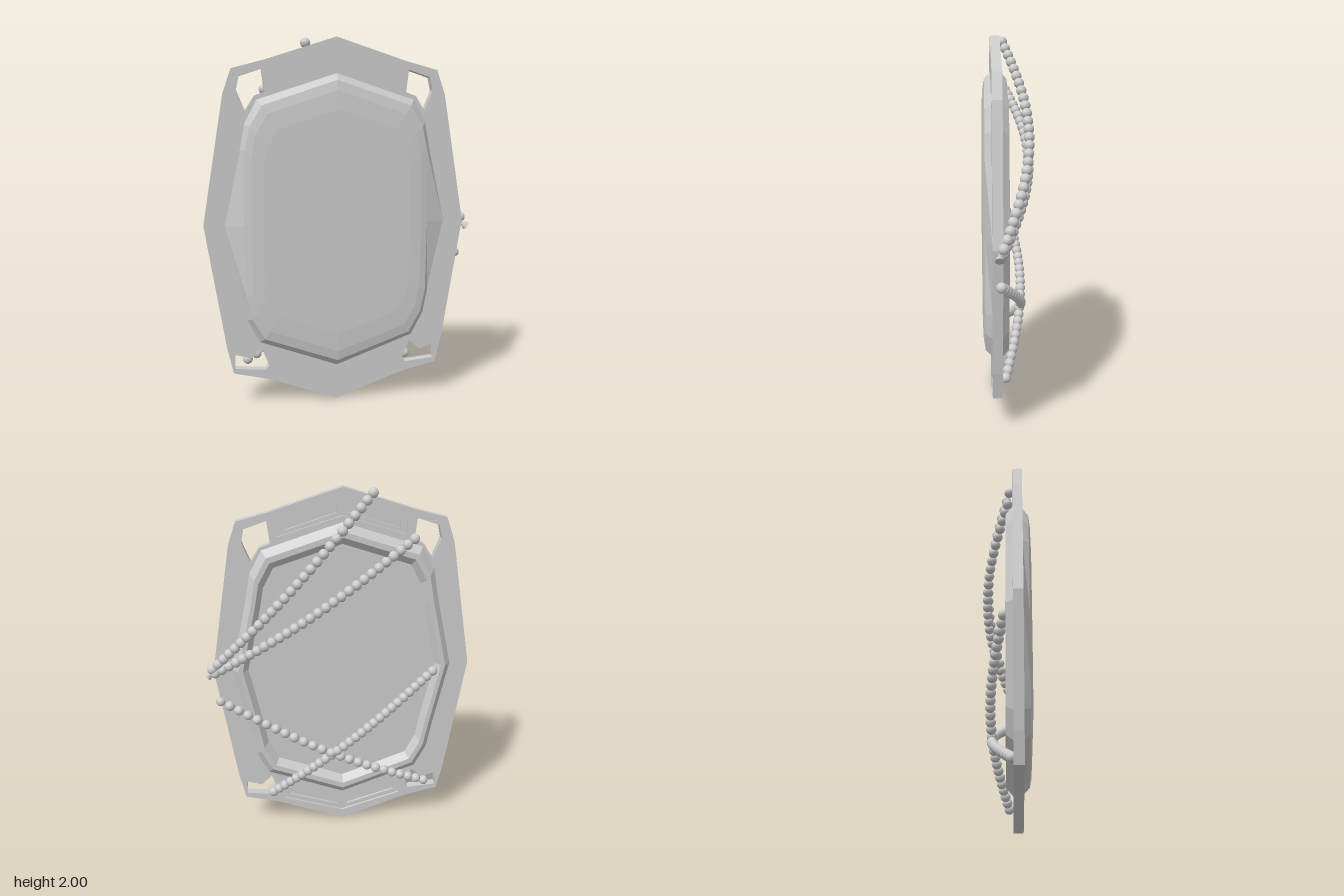
import * as THREE from 'three';

const grey = new THREE.MeshStandardMaterial({ color: 0xcccccc });
const flat = new THREE.MeshStandardMaterial({ color: 0xcccccc, flatShading: true });
const CX = -0.022; // centre line of the plate

// mirrors a right-hand half profile (top to bottom) into a full counter-clockwise loop
function mirrored(half) {
  const onAxis = (p) => Math.abs(p[0]) < 1e-6;
  const left = half.map(([x, y]) => [-x, y]);
  const right = half.filter((p) => !onAxis(p)).reverse();
  return [...left, ...right];
}

const path = (Type, pts) => new Type(pts.map(([x, y]) => new THREE.Vector2(x, y)));
const flipX = (pts) => pts.map(([x, y]) => [-x, y]);

function add(parent, name, geometry, material) {
  const mesh = new THREE.Mesh(geometry, material);
  mesh.name = name;
  parent.add(mesh);
  return mesh;
}

// flat slab between two depths, with cut-outs
function slab(outline, holes, z0, z1) {
  const shape = path(THREE.Shape, outline);
  holes.forEach((h) => shape.holes.push(path(THREE.Path, h)));
  return new THREE.ExtrudeGeometry(shape, { depth: z1 - z0, bevelEnabled: false }).translate(0, 0, z0);
}

// joins loops of equal length, optionally closing the last one with a fan
function loft(loops, cap) {
  const pos = [];
  const tri = (...pts) => pts.forEach((p) => pos.push(...p));
  const n = loops[0].length;
  for (let k = 0; k < loops.length - 1; k++) {
    for (let i = 0; i < n; i++) {
      const j = (i + 1) % n, a = loops[k], b = loops[k + 1];
      tri(a[i], a[j], b[j]);
      tri(a[i], b[j], b[i]);
    }
  }
  if (cap) {
    const last = loops[loops.length - 1];
    last.forEach((p, i) => tri(p, last[(i + 1) % n], cap));
  }
  const g = new THREE.BufferGeometry();
  g.setAttribute('position', new THREE.Float32BufferAttribute(pos, 3));
  g.computeVertexNormals();
  return g;
}

// scales a loop about the middle height and sets its depth
const ring = (pts, s, z) => pts.map(([x, y]) => [x * s, 1 + (y - 1) * s, z]);

// string of beads sagging backwards between two points
function beadString(parent, name, from, to, bulge, spacing) {
  const group = new THREE.Group();
  group.name = name;
  const a = new THREE.Vector3(...from), b = new THREE.Vector3(...to);
  const pts = [];
  for (let i = 0; i <= 12; i++) {
    const p = a.clone().lerp(b, i / 12);
    p.z -= bulge * Math.sin((Math.PI * i) / 12);
    pts.push(p);
  }
  const curve = new THREE.CatmullRomCurve3(pts);
  const count = Math.round(curve.getLength() / spacing);
  const bead = new THREE.SphereGeometry(0.028, 12, 8);
  curve.getSpacedPoints(count).forEach((p) => add(group, 'bead', bead, grey).position.copy(p));
  parent.add(group);
}

export function createModel() {
  const model = new THREE.Group();
  model.name = 'beadedPlaque';
  const body = new THREE.Group();
  body.name = 'plaque';
  body.position.x = CX;
  model.add(body);

  // faceted plate with corner openings and stepped pockets in the back
  const outline = mirrored([
    [0, 2], [0.39, 1.875], [0.56, 1.83], [0.605, 1.7], [0.72, 1],
    [0.61, 0.33], [0.575, 0.18], [0.38, 0.135], [0, 0],
  ]);
  const upperHole = [[0.40, 1.83], [0.52, 1.79], [0.535, 1.72], [0.49, 1.61], [0.44, 1.69], [0.385, 1.71]];
  const lowerHole = [[0.42, 0.315], [0.48, 0.26], [0.565, 0.285], [0.565, 0.205], [0.40, 0.19], [0.38, 0.215]];
  const corners = [upperHole, lowerHole].flatMap((h) => [h, flipX(h)]);
  const upperPocket = [[0.03, 1.91], [0.31, 1.825], [0.31, 1.775], [0.03, 1.865]];
  const lowerPocket = [[0.03, 0.09], [0.31, 0.175], [0.31, 0.225], [0.03, 0.135]];
  const deep = [upperPocket, lowerPocket].flatMap((h) => [h, flipX(h)]);
  const shallow = [
    mirrored([[0, 1.945], [0.345, 1.84], [0.345, 1.745], [0, 1.85]]),
    mirrored([[0, 0.15], [0.345, 0.255], [0.345, 0.16], [0, 0.055]]),
  ];
  add(body, 'plateFront', slab(outline, corners, 0.066, 0.088), grey);
  add(body, 'plateMiddle', slab(outline, [...corners, ...deep], 0.051, 0.066), grey);
  add(body, 'plateBack', slab(outline, [...corners, ...shallow], 0.037, 0.051), grey);

  // pillowed front panel: its bevel widens towards the middle of each side
  const base = mirrored([
    [0, 1.81], [0.43, 1.67], [0.497, 1.545], [0.523, 1.4], [0.61, 1],
    [0.523, 0.61], [0.497, 0.475], [0.43, 0.35], [0, 0.195],
  ]);
  const face = mirrored([
    [0, 1.773], [0.405, 1.638], [0.472, 1.525], [0.498, 1.4], [0.505, 1],
    [0.498, 0.61], [0.472, 0.49], [0.405, 0.375], [0, 0.232],
  ]);
  add(body, 'frontPanel', loft(
    [ring(base, 1, 0.087), ring(face, 1, 0.122), ring(face, 0.93, 0.131), ring(face, 0.8, 0.136)],
    [0, 1, 0.139],
  ), flat);

  // raised bevelled rim around the back
  const back = [...base].reverse();
  add(body, 'backRim', loft([
    ring(back, 1.01, 0.038), ring(back, 0.955, 0), ring(back, 0.915, 0), ring(back, 0.865, 0.036),
  ]), flat);

  // four strings of beads across the back
  beadString(model, 'upperBeadString', [-0.18, 1.97, 0.018], [0.705, 1.01, 0.035], 0.135, 0.052);
  beadString(model, 'middleBeadString', [-0.405, 1.725, 0.01], [0.69, 0.985, 0.035], 0.135, 0.05);
  beadString(model, 'crossingBeadString', [0.67, 0.81, 0.045], [-0.515, 0.24, 0.03], 0.115, 0.058);
  beadString(model, 'lowerBeadString', [0.39, 0.22, 0.015], [-0.53, 0.97, -0.01], 0.085, 0.045);

  // small tip where the upper strings meet
  const tip = add(model, 'stringTip', new THREE.ConeGeometry(0.025, 0.05, 8), grey);
  tip.position.set(0.715, 0.975, 0.055);
  tip.rotation.z = 0.9;

  return model;
}
